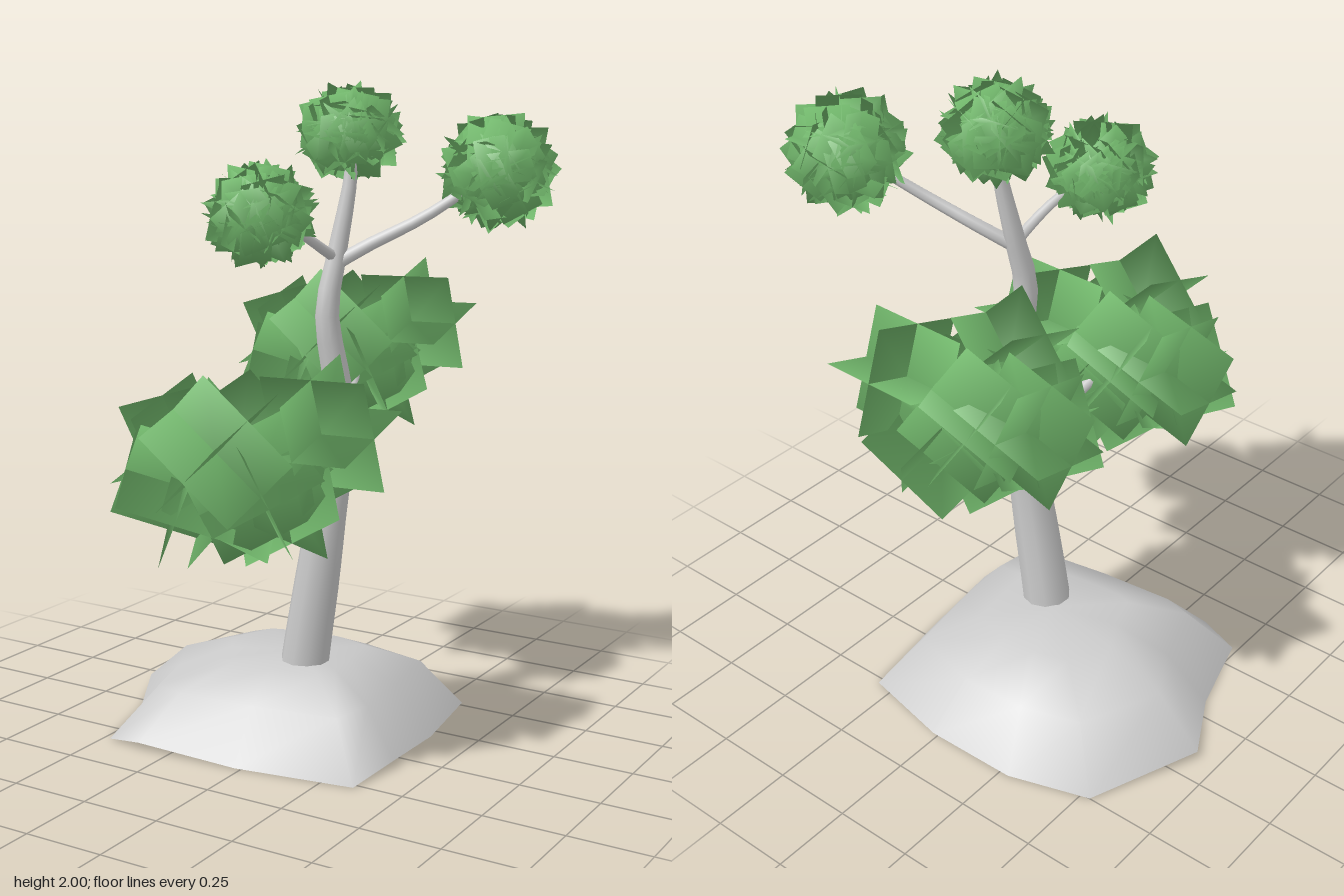
import * as THREE from 'three';
import { mergeGeometries } from 'three/addons/utils/BufferGeometryUtils.js';

const bark = new THREE.MeshStandardMaterial({ color: 0xcccccc, side: THREE.DoubleSide });
const leaf = new THREE.MeshStandardMaterial({ color: 0x72b86c, side: THREE.DoubleSide });

const V = (a) => new THREE.Vector3(...a);

function seeded(seed) {
  return () => (seed = (seed * 16807) % 2147483647) / 2147483647;
}

function addMesh(group, name, geometry, material) {
  const mesh = new THREE.Mesh(geometry, material);
  mesh.name = name;
  group.add(mesh);
  return mesh;
}

// Tube along a curve whose radius follows evenly spaced values
function taperedTube(points, radii, segments, sides) {
  const curve = new THREE.CatmullRomCurve3(points.map(V));
  const geo = new THREE.TubeGeometry(curve, segments, 1, sides);
  const pos = geo.attributes.position;
  const v = new THREE.Vector3();
  for (let i = 0; i <= segments; i++) {
    const centre = curve.getPointAt(i / segments);
    const t = (i / segments) * (radii.length - 1);
    const k = Math.min(Math.floor(t), radii.length - 2);
    const r = THREE.MathUtils.lerp(radii[k], radii[k + 1], t - k);
    for (let j = 0; j <= sides; j++) {
      const n = i * (sides + 1) + j;
      v.fromBufferAttribute(pos, n).sub(centre).multiplyScalar(r).add(centre);
      pos.setXYZ(n, v.x, v.y, v.z);
    }
  }
  return geo;
}

// Leaf star: three square cards crossing at right angles, each turned to face out of its clump
function leafStar(centre, rotation, size, clumpCentre) {
  const out = centre.clone().sub(clumpCentre);
  const turn = new THREE.Matrix4().makeRotationFromEuler(new THREE.Euler(...rotation));
  return [[0, 0], [Math.PI / 2, 0], [0, Math.PI / 2]].map(([rx, ry]) => {
    const card = new THREE.PlaneGeometry(size, size).rotateX(rx).rotateY(ry).applyMatrix4(turn);
    const normal = new THREE.Vector3().fromBufferAttribute(card.attributes.normal, 0);
    if (normal.dot(out) < 0) card.index.array.reverse();
    return card.translate(centre.x, centre.y, centre.z);
  });
}

// Merge cards and shade them as one rounded mass
function foliage(cards, clumpCentre) {
  const geo = mergeGeometries(cards);
  const { position, normal } = geo.attributes;
  const v = new THREE.Vector3();
  for (let i = 0; i < position.count; i++) {
    v.fromBufferAttribute(position, i).sub(clumpCentre).normalize();
    normal.setXYZ(i, v.x, v.y, v.z);
  }
  return geo;
}

// Dense crown ball: small stars spread over an ellipsoid
function crownBall(centre, radii, seed) {
  const rnd = seeded(seed);
  const count = 36;
  const cards = [];
  for (let i = 0; i < count; i++) {
    const y = 1 - (2 * (i + 0.5)) / count;
    const r = Math.sqrt(1 - y * y);
    const a = i * 2.4;
    const at = V([r * Math.cos(a), y, r * Math.sin(a)]).multiply(V(radii)).add(centre);
    cards.push(...leafStar(at, [rnd() * 6, rnd() * 6, rnd() * 6], 0.13, centre));
  }
  return foliage(cards, centre);
}

// Large clump: a handful of big stars, each given by position and rotation
function bigClump() {
  const centre = V([0.02, 0.92, 0.37]);
  const stars = [
    [[0.23, 1.03, 0.25], [0.31, 0, 0.03]],
    [[0.07, 1.01, 0.54], [0.31, 0, 0.75]],
    [[-0.18, 0.96, 0.33], [0.25, 0.05, 0.3]],
    [[-0.02, 0.85, 0.36], [0.6, 0.3, 0.75]],
    [[0.1, 0.85, 0.25], [1, 0.5, 0.2]],
    [[-0.05, 0.97, 0.24], [0.3, 0.5, 0.5]],
    [[-0.1, 0.88, 0.46], [0.5, 0.4, 1]],
    [[0.12, 0.9, 0.43], [0.2, 0.8, 0.3]],
  ];
  return foliage(stars.flatMap(([p, rot]) => leafStar(V(p), rot, 0.34, centre)), centre);
}

// Low mound: rings shrinking from an irregular rim to a flat crown, open below
function mound() {
  const rim = [
    [-0.68, -0.16], [-0.53, -0.5], [-0.28, -0.58], [0, -0.6], [0.31, -0.52], [0.36, -0.2],
    [0.38, 0.08], [0.35, 0.27], [-0.02, 0.33], [-0.35, 0.36], [-0.48, 0.33], [-0.56, 0.06],
  ];
  const rings = [[1, 0.015], [0.74, 0.165], [0.41, 0.235]];
  const cx = -0.07, cz = -0.1, n = rim.length;
  const pos = [], index = [];
  rings.forEach(([s, y], k) => rim.forEach(([x, z], i) => {
    const dy = k === 0 ? 0.015 * Math.cos(i * 2.1) : 0;
    pos.push(cx + (x - cx) * s, y + dy, cz + (z - cz) * s);
  }));
  pos.push(cx, 0.245, cz);
  // The rim runs clockwise from above, so corners are taken in reverse
  for (let i = 0; i < n; i++) {
    const j = (i + 1) % n;
    for (let k = 0; k < rings.length - 1; k++) {
      const a = k * n + i, b = k * n + j;
      index.push(a, a + n, b, b, a + n, b + n);
    }
    index.push(2 * n + i, 3 * n, 2 * n + j);
  }
  const geo = new THREE.BufferGeometry();
  geo.setAttribute('position', new THREE.Float32BufferAttribute(pos, 3));
  geo.setIndex(index);
  geo.computeVertexNormals();
  return geo;
}

export function createModel() {
  const tree = new THREE.Group();
  tree.name = 'tree';

  addMesh(tree, 'groundMound', mound(), bark);

  // Trunk leans to its left, then kinks back near the crown
  addMesh(tree, 'trunk', taperedTube([
    [-0.035, 0.02, -0.055], [-0.007, 0.24, -0.055], [0.055, 0.65, -0.06], [0.09, 1.05, -0.085],
    [0.07, 1.33, -0.05], [0.085, 1.5, -0.08], [0.11, 1.72, -0.115], [0.11, 1.85, -0.13],
  ], [0.08, 0.075, 0.07, 0.062, 0.056, 0.042, 0.034, 0.025, 0.015], 24, 10), bark);

  // Branches: path, start radius, end radius
  const branches = {
    lowerFrontBranch: [[[0.07, 0.77, -0.06], [0.05, 0.84, 0.05], [0.01, 0.93, 0.24]], 0.024, 0.016],
    lowerBackBranch: [[[0.085, 1.0, -0.08], [0.07, 1.05, -0.18], [0.02, 1.13, -0.32]], 0.024, 0.016],
    upperSideBranch: [[[0.08, 1.47, -0.07], [0.17, 1.53, -0.13], [0.31, 1.61, -0.2], [0.46, 1.73, -0.31]], 0.022, 0.014],
    upperFrontBranch: [[[0.08, 1.49, -0.08], [0.08, 1.52, -0.01], [0.06, 1.57, 0.08], [0.02, 1.62, 0.2]], 0.017, 0.012],
  };
  for (const [name, [path, r0, r1]] of Object.entries(branches)) {
    addMesh(tree, name, taperedTube(path, [r0, r1], 8, 7), bark);
  }

  // The back clump repeats the front one, a little smaller
  const clump = bigClump();
  addMesh(tree, 'lowerFrontFoliage', clump, leaf);
  const back = addMesh(tree, 'lowerBackFoliage', clump, leaf);
  back.scale.setScalar(0.92);
  back.position.set(-0.11, 0.3, -0.76);

  // Crown balls: centre and radii of the ellipsoid that carries the stars
  const balls = {
    crownTopFoliage: [[0.09, 1.855, -0.145], [0.085, 0.07, 0.085]],
    crownSideFoliage: [[0.485, 1.745, -0.33], [0.1, 0.1, 0.105]],
    crownFrontFoliage: [[0.005, 1.635, 0.215], [0.085, 0.075, 0.09]],
  };
  Object.entries(balls).forEach(([name, [centre, radii]], i) => {
    addMesh(tree, name, crownBall(V(centre), radii, 101 + i * 37), leaf);
  });

  return tree;
}
